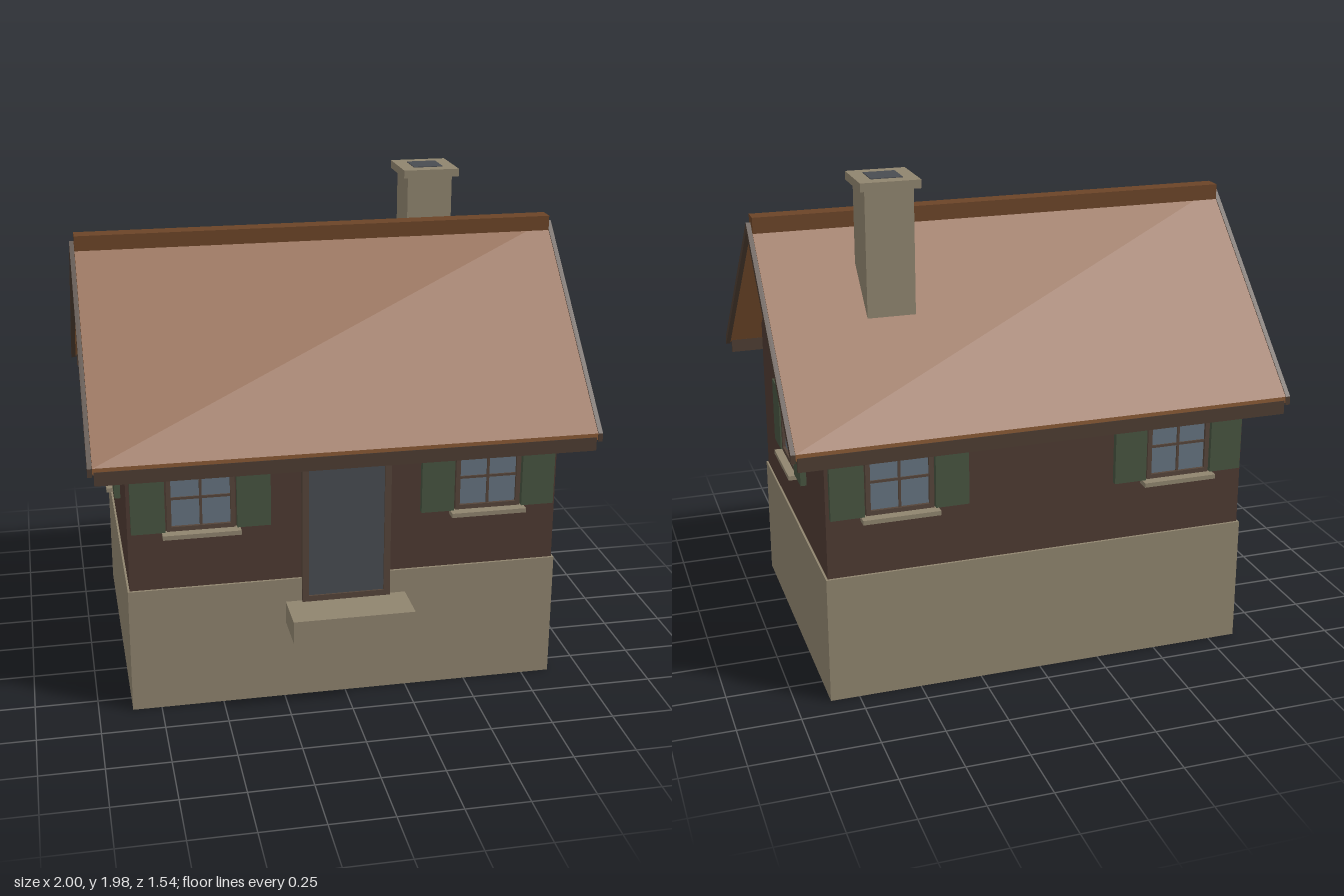
import * as THREE from 'three';

const ZC = -0.03; // depth centre of the house body
const mat = (color) => new THREE.MeshStandardMaterial({ color });
const M = {
  stone: mat(0x8f846e), wall: mat(0x4e3a32), roof: mat(0x8a5a35), ridge: mat(0x6b4427),
  trim: mat(0x4d3d32), frame: mat(0x55453a), shutter: mat(0x475440),
  glass: mat(0x65737f), door: mat(0x494c51),
};

function add(parent, name, geometry, material, x = 0, y = 0, z = 0) {
  const mesh = new THREE.Mesh(geometry, material);
  mesh.name = name;
  mesh.position.set(x, y, z);
  parent.add(mesh);
  return mesh;
}

// Box given by its limits on each axis
function box(parent, name, material, [x0, x1], [y0, y1], [z0, z1]) {
  return add(parent, name, new THREE.BoxGeometry(x1 - x0, y1 - y0, z1 - z0), material,
    (x0 + x1) / 2, (y0 + y1) / 2, (z0 + z1) / 2);
}

// Profile of [z, y] points, extruded along x and centred on the given x
function prism(parent, name, material, points, width, x = 0) {
  const shape = new THREE.Shape(points.map(([z, y]) => new THREE.Vector2(z, y)));
  const geometry = new THREE.ExtrudeGeometry(shape, { depth: width, bevelEnabled: false });
  geometry.translate(0, 0, -width / 2);
  geometry.rotateY(-Math.PI / 2);
  return add(parent, name, geometry, material, x, 0, ZC);
}

// Flat rectangular ring, standing on z = 0
function ringGeometry(w, h, border, depth) {
  const rect = (C, a, b) => new C([[-a, -b], [a, -b], [a, b], [-a, b]].map((p) => new THREE.Vector2(...p)));
  const shape = rect(THREE.Shape, w / 2, h / 2);
  shape.holes.push(rect(THREE.Path, w / 2 - border, h / 2 - border));
  return new THREE.ExtrudeGeometry(shape, { depth, bevelEnabled: false });
}

// Upside-down V of both roof slopes
function chevron(apex, halfSpan, thickness, slope = 0.93) {
  const eave = apex - slope * halfSpan;
  return [[-halfSpan, eave], [-halfSpan, eave - thickness], [0, apex - thickness],
    [halfSpan, eave - thickness], [halfSpan, eave], [0, apex]];
}

// Shuttered window, facing +z with its back on the wall
function createWindow() {
  const g = new THREE.Group();
  g.name = 'window';
  add(g, 'windowFrame', ringGeometry(0.265, 0.265, 0.018, 0.02), M.frame);
  box(g, 'windowGlass', M.glass, [-0.12, 0.12], [-0.12, 0.12], [-0.005, 0.008]);
  box(g, 'verticalGlazingBar', M.frame, [-0.005, 0.005], [-0.115, 0.115], [0, 0.014]);
  box(g, 'horizontalGlazingBar', M.frame, [-0.115, 0.115], [-0.005, 0.005], [0, 0.014]);
  box(g, 'windowSill', M.stone, [-0.152, 0.152], [-0.155, -0.137], [-0.008, 0.05]);
  for (const s of [-1, 1]) {
    add(g, 'shutter', new THREE.BoxGeometry(0.132, 0.268, 0.024), M.shutter, s * 0.205, 0, 0.013);
  }
  return g;
}

export function createModel() {
  const house = new THREE.Group();
  house.name = 'cottage';

  // Foundation, walls and gable
  box(house, 'foundation', M.stone, [-0.865, 0.865], [0, 0.52], [-0.655, 0.595]);
  box(house, 'walls', M.wall, [-0.857, 0.857], [0.52, 1.2], [-0.645, 0.585]);
  prism(house, 'gable', M.wall, [[-0.615, 1.2], [0.615, 1.2], [0, 1.76]], 1.714);

  // Roof slopes, barge boards, ridge and eave boards
  prism(house, 'roof', M.roof, chevron(1.772, 0.733, 0.026), 1.96);
  for (const s of [-1, 1]) {
    prism(house, 'bargeBoard', M.trim, chevron(1.774, 0.735, 0.034), 0.018, s * 0.99);
    const z = ZC + s * 0.728;
    box(house, 'eaveBoard', M.trim, [-0.975, 0.975], [1.02, 1.075], [z - 0.007, z + 0.007]);
  }
  box(house, 'ridgeBeam', M.ridge, [-0.98, 0.98], [1.73, 1.8], [-0.068, 0.005]);

  // Chimney
  box(house, 'chimneyStack', M.stone, [0.42, 0.61], [1.38, 1.945], [-0.375, -0.19]);
  box(house, 'chimneyCap', M.stone, [0.397, 0.632], [1.945, 1.978], [-0.402, -0.162]);
  box(house, 'chimneyFlue', M.door, [0.453, 0.577], [1.95, 1.981], [-0.344, -0.22]);

  // Door and step
  add(house, 'doorFrame', ringGeometry(0.355, 0.605, 0.026, 0.03), M.frame, 0, 0.7225, 0.58);
  box(house, 'door', M.door, [-0.152, 0.152], [0.43, 1], [0.58, 0.603]);
  box(house, 'doorStep', M.stone, [-0.243, 0.243], [0.33, 0.422], [0.595, 0.775]);

  // Windows: two on the front and back, one on each side
  const places = [];
  for (const s of [-1, 1]) {
    places.push([s * 0.572, 0.585, 0], [s * 0.572, -0.645, Math.PI], [s * 0.857, ZC - 0.004, s * Math.PI / 2]);
  }
  for (const [x, z, turn] of places) {
    const w = createWindow();
    w.position.set(x, 0.902, z);
    w.rotation.y = turn;
    house.add(w);
  }
  return house;
}
